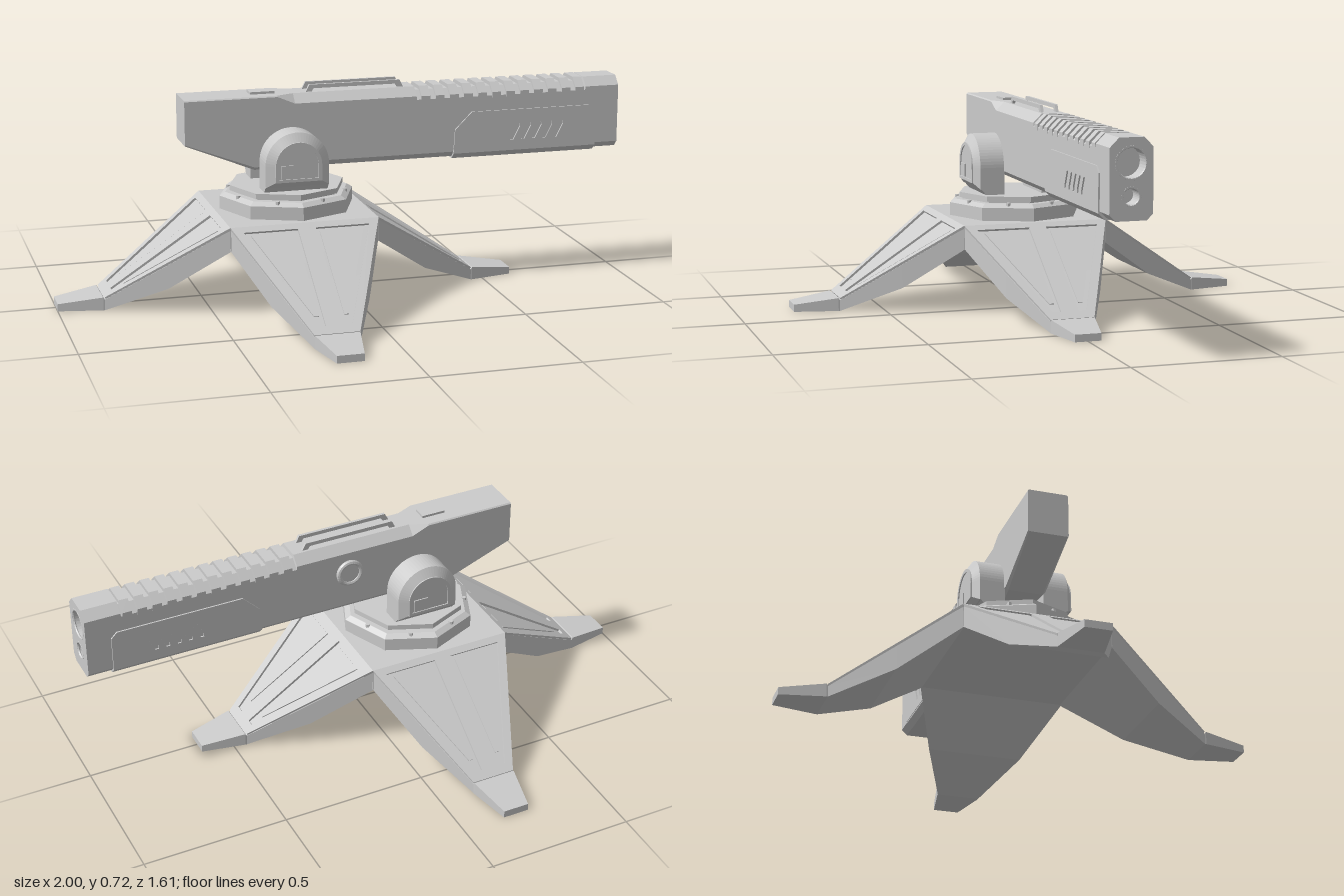
import * as THREE from 'three';

const mat = new THREE.MeshStandardMaterial({ color: 0xcccccc, flatShading: true, side: THREE.DoubleSide });
const CX = -0.195; // centre of the stand

function add(parent, name, geo, x = 0, y = 0, z = 0) {
  const m = new THREE.Mesh(geo, mat);
  m.name = name;
  m.position.set(x, y, z);
  parent.add(m);
  return m;
}

function group(parent, name) {
  const g = new THREE.Group();
  g.name = name;
  parent.add(g);
  return g;
}

// Joins rings of points (anticlockwise seen from +z) into a capped faceted solid
function loft(rings) {
  const pos = [];
  const tri = (...pts) => pts.forEach(p => pos.push(...p));
  const n = rings[0].length;
  for (let k = 0; k + 1 < rings.length; k++) {
    const a = rings[k], b = rings[k + 1];
    for (let i = 0; i < n; i++) {
      const j = (i + 1) % n;
      tri(a[i], a[j], b[j]);
      tri(a[i], b[j], b[i]);
    }
  }
  const s = rings[0], e = rings[rings.length - 1];
  for (let i = 1; i + 1 < n; i++) {
    tri(s[0], s[i + 1], s[i]);
    tri(e[0], e[i], e[i + 1]);
  }
  const g = new THREE.BufferGeometry();
  g.setAttribute('position', new THREE.Float32BufferAttribute(pos, 3));
  g.computeVertexNormals();
  return g;
}

const poly = pts => new THREE.Shape(pts.map(p => new THREE.Vector2(...p)));
const extrude = (shape, depth, opts = {}) =>
  new THREE.ExtrudeGeometry(shape, { depth, bevelEnabled: false, curveSegments: 16, ...opts });

// Rectangle with cut corners: half width w, bottom b, top t, top cut ct, bottom cut cb
const octagon = (w, b, t, ct, cb) => [
  [-w + cb, b], [w - cb, b], [w, b + cb], [w, t - ct],
  [w - ct, t], [-w + ct, t], [-w, t - ct], [-w, b + cb]];

function arch(r, bottom, centre) {
  const s = new THREE.Shape();
  s.moveTo(-r, bottom);
  s.lineTo(r, bottom);
  s.lineTo(r, centre);
  s.absarc(0, centre, r, 0, Math.PI, false);
  s.closePath();
  return s;
}

function buildLeg(parent) {
  const leg = group(parent, 'leg');
  // Bent foot: distance out, half width, bottom, top
  const rings = [[0.25, 0.255, 0.225, 0.299], [0.45, 0.166, 0.085, 0.167], [0.65, 0.075, 0, 0.037],
    [0.655, 0.075, 0, 0.045], [0.805, 0.045, 0, 0.025]]
    .map(([z, w, b, t]) => [[-w, b, z], [w, b, z], [w, t, z], [-w, t, z]]);
  add(leg, 'legBody', loft(rings));

  // Framed plate lying on the slope, with two sunken panels
  const plate = poly([[-0.075, -0.473], [0.075, -0.473], [0.255, 0], [-0.255, 0]]);
  const slope = group(leg, 'legArmour');
  slope.position.set(0, 0.305, 0.255);
  slope.rotation.x = -Math.atan2(0.395, 0.26);
  for (const s of [-1, 1]) {
    plate.holes.push(new THREE.Path([[0.03, -0.025], [0.215, -0.025], [0.058, -0.44], [0.03, -0.44]]
      .map(([x, y]) => new THREE.Vector2(s * x, y))));
    const inner = poly([[0.042, -0.038], [0.192, -0.038], [0.058, -0.395], [0.042, -0.395]].map(([x, y]) => [s * x, y]));
    add(slope, 'legPanel', extrude(inner, 0.006), 0, 0, -0.01);
  }
  add(slope, 'legFrame', extrude(plate, 0.012), 0, 0, -0.012);
  return leg;
}

function buildYoke(parent, s) {
  const yoke = group(parent, 'yokeArm');
  yoke.position.x = CX;
  if (s < 0) yoke.rotation.y = Math.PI;
  // Upright arch and the wedge beneath its overhang
  add(yoke, 'archBody', extrude(arch(0.11, 0.38, 0.48), 0.065), 0, 0, 0.068);
  const wedge = poly([[-0.07, 0.38], [-0.13, 0.38], [-0.155, 0.41], [-0.155, 0.44], [-0.07, 0.44]]);
  add(yoke, 'archWedge', extrude(wedge, 0.22), -0.11).rotation.y = Math.PI / 2;
  // Bevelled cap with a sunken arched panel
  const rings = [[0.11, 0.405, 0.13], [0.11, 0.405, 0.155], [0.08, 0.425, 0.174]].map(([r, b, z]) =>
    arch(r, b, 0.48).getPoints(16).slice(0, -1).map(p => [p.x, p.y, z]));
  add(yoke, 'archCap', loft(rings));
  const rim = arch(0.08, 0.425, 0.48);
  rim.holes.push(arch(0.068, 0.435, 0.48));
  add(yoke, 'archRim', extrude(rim, 0.006), 0, 0, 0.172);
  add(yoke, 'archLatch', new THREE.BoxGeometry(0.05, 0.045, 0.006), -0.035, 0.46, 0.175);
}

function buildGun(parent) {
  const gun = group(parent, 'gun');
  const along = group(gun, 'gunBody'); // its local z runs along the barrel
  along.rotation.y = Math.PI / 2;

  // Body: position, bottom, top, top cut, bottom cut
  const rings = [[-0.56, 0.545, 0.7, 0.004, 0.004], [-0.32, 0.447, 0.7, 0.004, 0.01],
    [-0.24, 0.447, 0.7, 0.004, 0.02], [-0.18, 0.447, 0.7, 0.03, 0.02], [0.25, 0.447, 0.7, 0.03, 0.02],
    [0.252, 0.447, 0.688, 0.03, 0.02], [0.87, 0.447, 0.688, 0.03, 0.02],
    [0.872, 0.447, 0.7, 0.03, 0.02], [0.94, 0.447, 0.7, 0.03, 0.02]]
    .map(([z, b, t, ct, cb]) => octagon(0.07, b, t, ct, cb).map(([x, y]) => [x, y, z]));
  add(along, 'receiver', loft(rings));

  // Muzzle block with two bores and their rims
  const muzzle = poly(octagon(0.07, 0.447, 0.7, 0.03, 0.02));
  for (const [y, r] of [[0.622, 0.047], [0.52, 0.026]]) {
    muzzle.holes.push(new THREE.Path().absarc(0, y, r, 0, Math.PI * 2, true));
    add(along, 'boreRim', new THREE.TorusGeometry(r + 0.003, 0.005, 6, 32), 0, y, 0.991);
  }
  add(along, 'muzzle', extrude(muzzle, 0.055), 0, 0, 0.94);

  // Cooling ribs over the top
  const rib = poly([[-0.071, 0.65], [0.071, 0.65], [0.071, 0.67], [0.04, 0.701], [-0.04, 0.701], [-0.071, 0.67]]);
  for (let i = 0; i < 12; i++) add(along, 'coolingRib', extrude(rib, 0.032), 0, 0, 0.267 + i * 0.0515);

  // Fore grip: lower sleeve and vented side panels
  const sleeve = octagon(0.073, 0.44, 0.48, 0.002, 0.02);
  add(along, 'gripSleeve', extrude(poly(sleeve), 0.525), 0, 0, 0.385);
  const panel = poly([[0.385, 0.465], [0.91, 0.465], [0.91, 0.585], [0.89, 0.605], [0.45, 0.605], [0.39, 0.545]]);
  for (let i = 0; i < 5; i++) {
    const x = 0.592 + i * 0.04;
    panel.holes.push(new THREE.Path([[x, 0.498], [x + 0.012, 0.498], [x + 0.036, 0.545],
      [x + 0.034, 0.556], [x + 0.022, 0.556], [x, 0.51]].map(p => new THREE.Vector2(...p))));
  }
  for (const s of [-1, 1]) {
    add(gun, 'gripPanel', extrude(panel, 0.014), 0, 0, s > 0 ? 0.061 : -0.075);
    // Raised sight rails with sloping ends
    const rail = poly([[-0.135, 0.695], [-0.115, 0.695], [-0.105, 0.711], [0.185, 0.711], [0.195, 0.695],
      [0.215, 0.695], [0.2, 0.724], [-0.12, 0.724]]);
    add(gun, 'sightRail', extrude(rail, 0.01), 0, 0, s * 0.026 - 0.005);
  }
  add(gun, 'rearCatch', new THREE.BoxGeometry(0.085, 0.012, 0.05), -0.283, 0.702, 0);

  // Round dial on the rear-facing side
  const dial = group(gun, 'sideDial');
  dial.position.set(0.06, 0.595, -0.07);
  add(dial, 'dialRing', new THREE.TorusGeometry(0.04, 0.009, 8, 32), 0, 0, -0.006);
  add(dial, 'dialFace', new THREE.CylinderGeometry(0.036, 0.036, 0.02, 32)).rotation.x = Math.PI / 2;
}

export function createModel() {
  const model = new THREE.Group();
  model.name = 'mountedGun';

  // Stand: square hub with four legs
  const stand = group(model, 'stand');
  stand.position.x = CX;
  add(stand, 'hub', new THREE.BoxGeometry(0.51, 0.08, 0.51), 0, 0.265, 0);
  for (let i = 0; i < 4; i++) buildLeg(stand).rotation.y = i * Math.PI / 2;

  // Eight-sided turntable
  const steps = [[0.235, 0.235, 0.305, 0.35], [0.235, 0.215, 0.35, 0.362], [0.19, 0.19, 0.36, 0.367], [0.2, 0.2, 0.367, 0.385]];
  for (const [r0, r1, y0, y1] of steps)
    add(stand, 'turntable', new THREE.CylinderGeometry(r1, r0, y1 - y0, 8), 0, (y0 + y1) / 2, 0);
  for (let i = 0; i < 8; i++) {
    const a = (i + 0.5) * Math.PI / 4;
    add(stand, 'turntableBolt', new THREE.CylinderGeometry(0.008, 0.008, 0.012, 6),
      Math.sin(a) * 0.203, 0.36, Math.cos(a) * 0.203);
  }

  for (const s of [-1, 1]) buildYoke(model, s);
  buildGun(model);
  return model;
}
